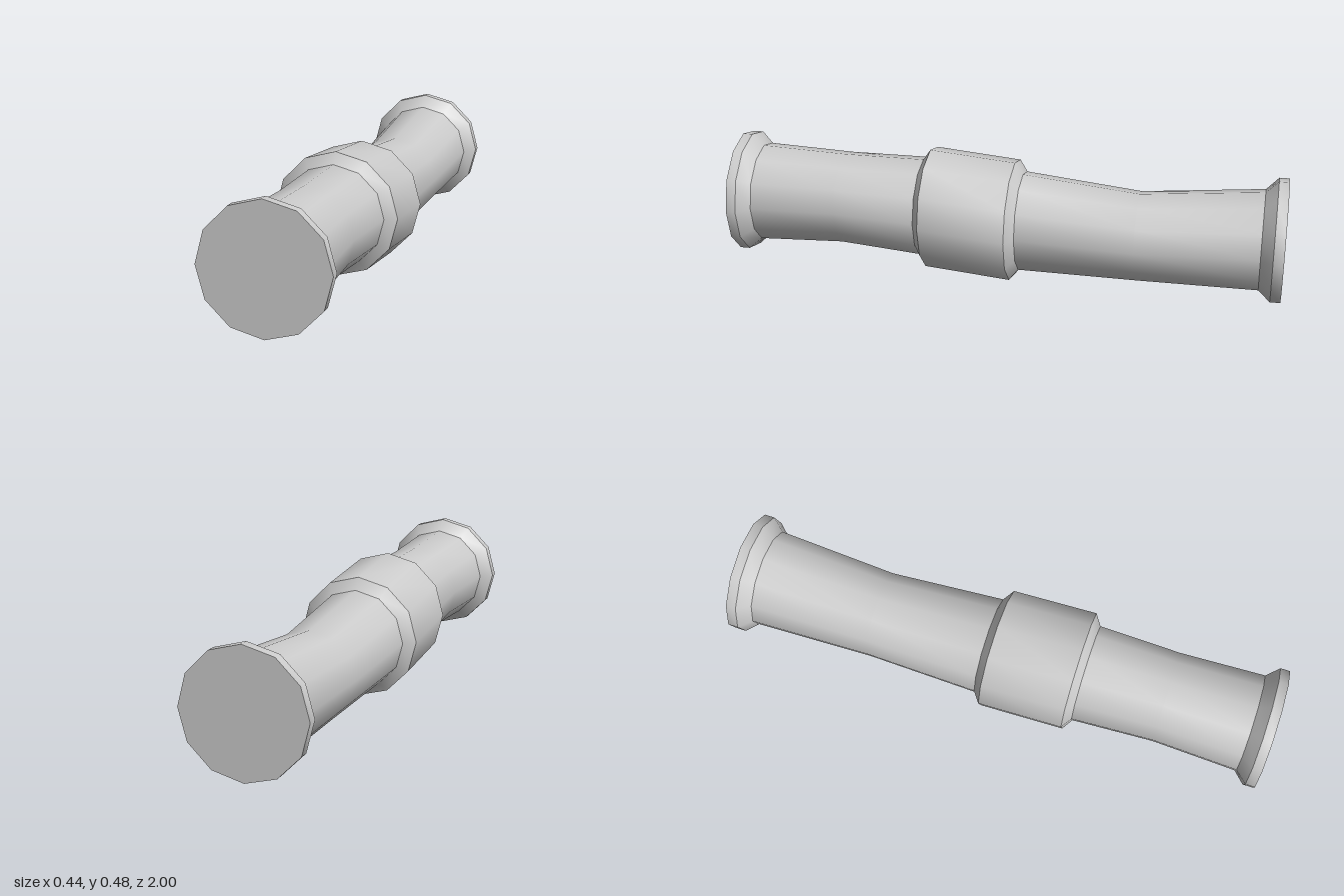
import * as THREE from 'three';
import { toCreasedNormals } from 'three/addons/utils/BufferGeometryUtils.js';

const SIDES = 12;

// Skins a row of 12-sided rings [z, centreY, radius], ordered back to front.
function loft(rings, capBack, capFront) {
  const pos = [];
  const point = ([z, cy, r], j) => {
    const a = ((j % SIDES) / SIDES) * Math.PI * 2;
    return [r * Math.cos(a), cy + r * Math.sin(a), z];
  };
  const tri = (...corners) => corners.forEach((c) => pos.push(...c));
  const first = rings[0];
  const last = rings[rings.length - 1];
  for (let j = 0; j < SIDES; j++) {
    for (let i = 0; i < rings.length - 1; i++) {
      const a = point(rings[i], j);
      const b = point(rings[i], j + 1);
      const c = point(rings[i + 1], j + 1);
      const d = point(rings[i + 1], j);
      tri(a, b, c);
      tri(a, c, d);
    }
    if (capBack) tri([0, first[1], first[0]], point(first, j + 1), point(first, j));
    if (capFront) tri([0, last[1], last[0]], point(last, j), point(last, j + 1));
  }
  const geometry = new THREE.BufferGeometry();
  geometry.setAttribute('position', new THREE.Float32BufferAttribute(pos, 3));
  return toCreasedNormals(geometry, 0.62);
}

export function createModel() {
  const group = new THREE.Group();
  const material = new THREE.MeshStandardMaterial({ color: 0xcccccc });

  const add = (name, rings, capBack = false, capFront = false) => {
    const mesh = new THREE.Mesh(loft(rings, capBack, capFront), material);
    mesh.name = name;
    group.add(mesh);
  };

  // Rings where neighbouring parts meet
  const backNeck = [-0.92, 0.222, 0.181];
  const collarBack = [-0.057, 0.221, 0.181];
  const collarFront = [0.312, 0.25, 0.181];
  const frontNeck = [0.922, 0.26, 0.181];

  // Flared end at the back
  add('backRim', [[-1, 0.225, 0.222], [-0.963, 0.225, 0.222], backNeck], true);
  // Waisted back shaft
  add('backShaft', [backNeck, [-0.48, 0.198, 0.162], collarBack]);
  // Tilted thick collar with chamfered ends
  add('collar', [collarBack, [-0.027, 0.222, 0.222], [0.285, 0.249, 0.222], collarFront]);
  // Waisted front shaft
  add('frontShaft', [collarFront, [0.61, 0.261, 0.169], frontNeck]);
  // Flared end at the front
  add('frontRim', [frontNeck, [0.965, 0.26, 0.222], [1, 0.26, 0.222]], false, true);

  return group;
}
